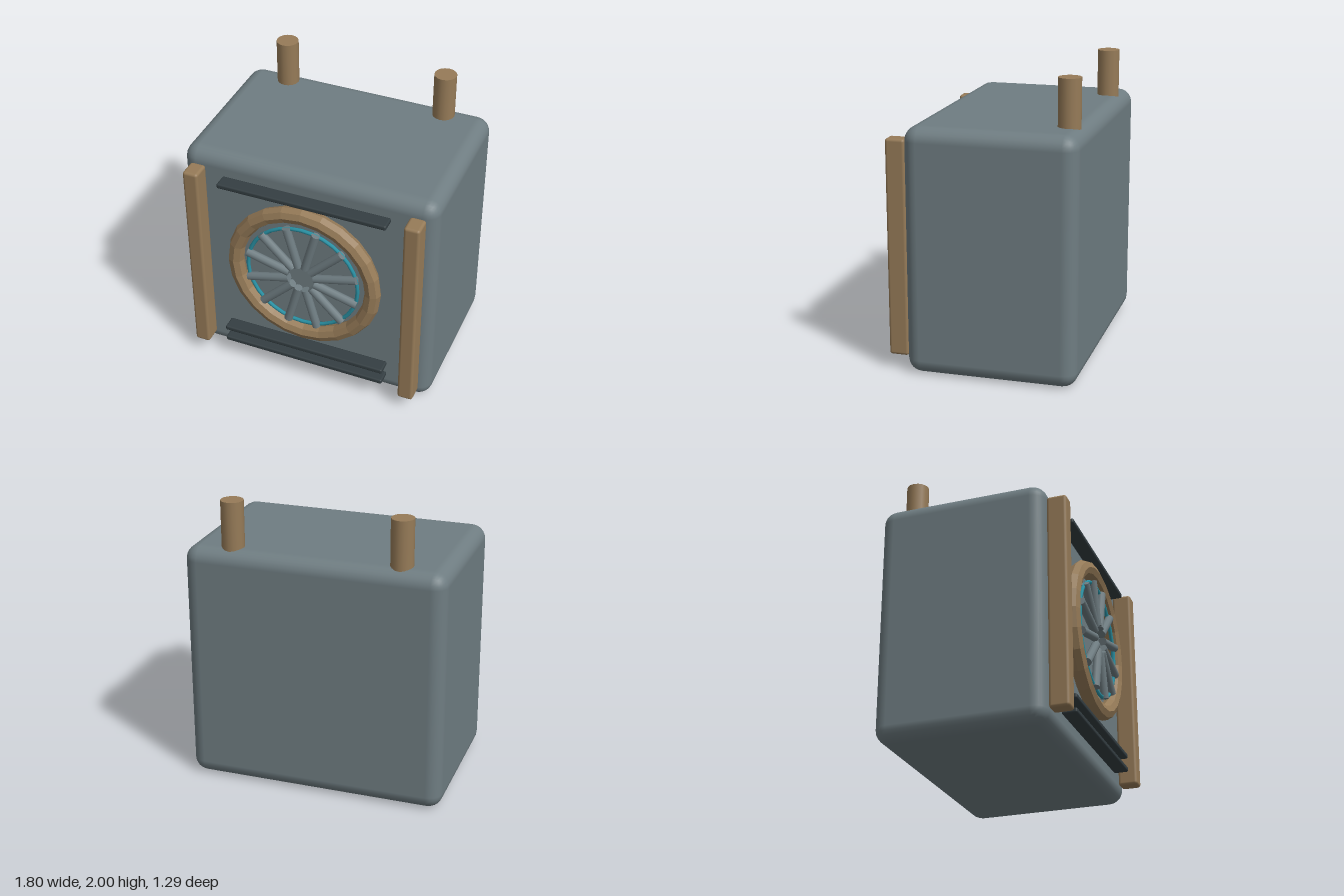
import * as THREE from 'three';
import { RoundedBoxGeometry } from 'three/addons/geometries/RoundedBoxGeometry.js';

const mat = (color, flatShading = false) => new THREE.MeshStandardMaterial({ color, flatShading });

export function createModel() {
  const model = new THREE.Group();
  model.name = 'fanUnit';
  const steel = mat(0x6f7d82), wood = mat(0x967b58), woodFlat = mat(0x967b58, true);
  const dark = mat(0x343e42), teal = mat(0x2a93a6);

  const add = (name, geometry, material, x, y, z, parent = model) => {
    const mesh = new THREE.Mesh(geometry, material);
    mesh.name = name;
    mesh.position.set(x, y, z);
    parent.add(mesh);
    return mesh;
  };

  // Rounded housing
  add('housing', new RoundedBoxGeometry(1.8, 1.68, 1.16, 3, 0.1), steel, 0, 0.84, -0.066);

  // Front posts and rear pipes, mirrored
  for (const [side, s] of [['left', 1], ['right', -1]]) {
    add(`${side}Post`, new RoundedBoxGeometry(0.11, 1.485, 0.136, 2, 0.02), wood, s * 0.775, 0.842, 0.581);
    add(`${side}Pipe`, new THREE.CylinderGeometry(0.077, 0.077, 0.4, 16), wood, s * 0.58, 1.8, -0.52);
  }

  // Horizontal vent slats
  [1.518, 0.26, 0.163].forEach((y, i) =>
    add(`ventSlat${i + 1}`, new RoundedBoxGeometry(1.19, 0.036, 0.104, 2, 0.012), dark, 0, y, 0.572));

  // Fan: faceted outer rim, thin inner ring, radial blades
  const fan = new THREE.Group();
  fan.name = 'fan';
  fan.position.set(0, 0.906, 0);
  model.add(fan);
  add('fanRim', new THREE.TorusGeometry(0.5, 0.057, 8, 24), woodFlat, 0, 0, 0.573, fan);
  add('fanInnerRing', new THREE.TorusGeometry(0.4, 0.014, 6, 32), teal, 0, 0, 0.595, fan);

  const bladeGeometry = new THREE.CylinderGeometry(0.03, 0.03, 0.315, 10);
  for (let i = 0; i < 12; i++) {
    const a = (i + 0.5) * Math.PI / 6;
    const blade = add(`fanBlade${i + 1}`, bladeGeometry, steel, 0.253 * Math.cos(a), 0.253 * Math.sin(a), 0.605, fan);
    blade.rotation.z = a - Math.PI / 2;
  }
  return model;
}
